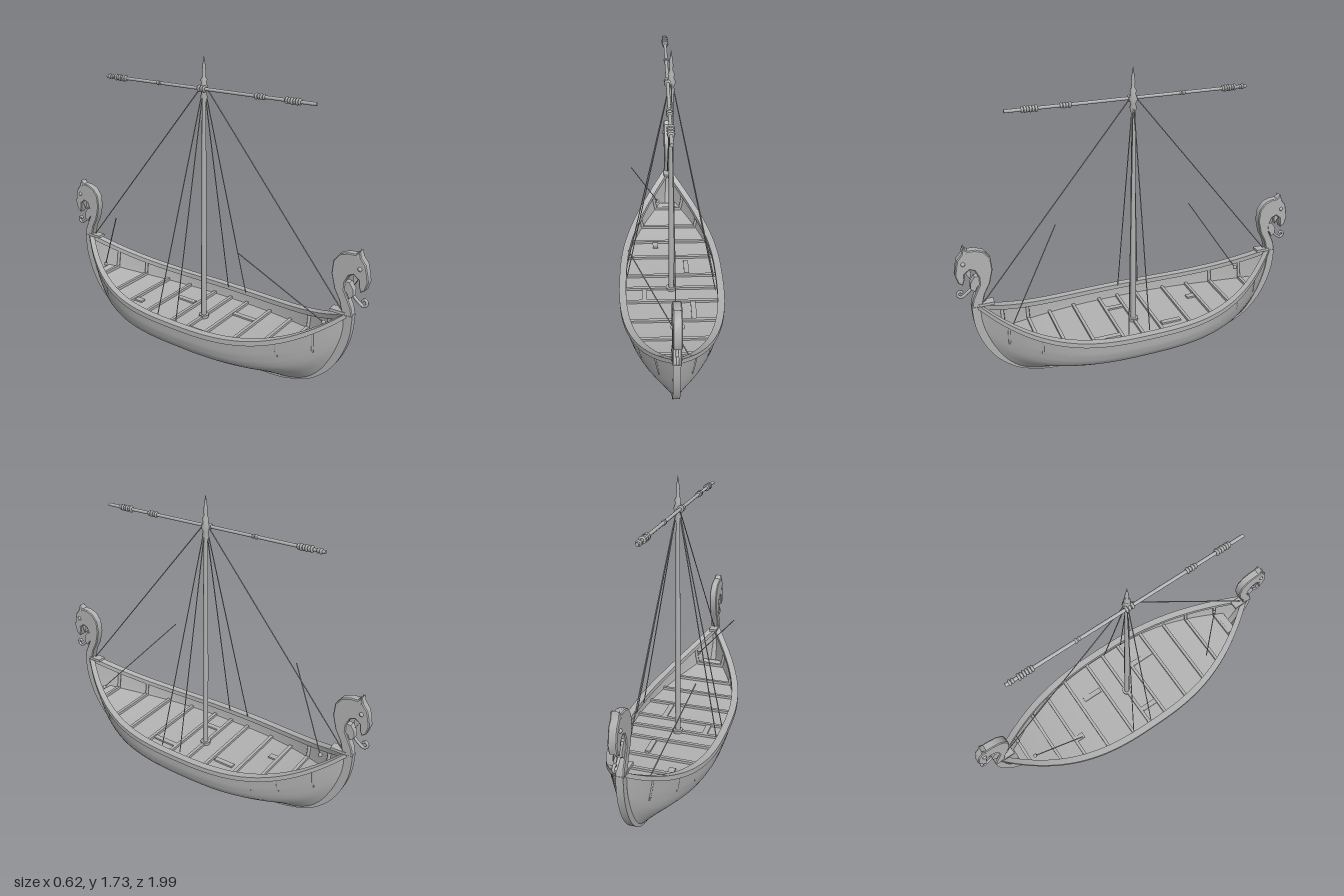
import * as THREE from 'three';
import { toCreasedNormals } from 'three/addons/utils/BufferGeometryUtils.js';

const V = (x, y, z) => new THREE.Vector3(x, y, z);

// Hull rules: half width of the rim, height of rim and keel at a given z
const rimW = z => 0.295 * Math.max(0, 1 - (Math.abs(z) / 0.9) ** 2.6);
const rimY = z => 0.295 + 0.225 * (Math.abs(z) / 0.89) ** 3.2;
const keelY = z => 0.02 + 0.35 * (Math.abs(z) / 0.895) ** 8;
const SECTION = [[0, 0.06], [0.04, 0.16], [0.12, 0.33], [0.2, 0.5], [0.3, 0.71], [0.4, 0.85], [0.52, 0.93], [0.7, 0.98], [1, 1]];

function sectionAt(v, z) {
  let i = 1;
  while (i < SECTION.length - 1 && SECTION[i][0] < v) i++;
  const [a, b] = [SECTION[i - 1], SECTION[i]];
  const full = THREE.MathUtils.mapLinear(v, a[0], b[0], a[1], b[1]);
  return THREE.MathUtils.lerp(full, v, 0.7 * (Math.abs(z) / 0.9) ** 3);
}
function halfWidth(z, y) {
  const v = THREE.MathUtils.clamp((y - keelY(z)) / (rimY(z) - keelY(z)), 0, 1);
  return rimW(z) * sectionAt(v, z);
}
const deckY = z => 0.21 + 0.1 * (Math.abs(z) / 0.8) ** 3;

// Skin a list of rows, each with the same number of points
function loft(rows) {
  const n = rows[0].length, idx = [];
  for (let i = 0; i < rows.length - 1; i++)
    for (let j = 0; j < n - 1; j++) {
      const a = i * n + j, b = a + n;
      idx.push(a, a + 1, b, b, a + 1, b + 1);
    }
  const g = new THREE.BufferGeometry();
  g.setAttribute('position', new THREE.BufferAttribute(new Float32Array(rows.flat(2)), 3));
  g.setIndex(idx);
  g.computeVertexNormals();
  return g;
}

// Extrude an outline drawn in (z, y) across x
function sideProfile(points, width, bevel = 0) {
  const g = new THREE.ExtrudeGeometry(new THREE.Shape(points), {
    depth: width - 2 * bevel, bevelEnabled: bevel > 0, bevelSize: bevel, bevelThickness: bevel, bevelOffset: -bevel, bevelSegments: 1
  });
  g.translate(0, 0, -width / 2 + bevel).rotateY(-Math.PI / 2);
  return toCreasedNormals(g, 0.6);
}
const spline = (pts, n) => new THREE.SplineCurve(pts.map(p => new THREE.Vector2(...p))).getPoints(n);

export function createModel() {
  const ship = new THREE.Group();
  ship.name = 'longship';
  const wood = new THREE.MeshStandardMaterial({ color: 0xb2b2b2, side: THREE.DoubleSide });
  wood.name = 'grey wood';
  const add = (name, geo, parent = ship) => {
    const m = new THREE.Mesh(geo, wood);
    m.name = name;
    parent.add(m);
    return m;
  };
  const box = (name, w, h, d, x, y, z) => add(name, new THREE.BoxGeometry(w, h, d).translate(x, y, z));
  const tube = (name, pts, r, seg = 24, parent = ship) =>
    add(name, new THREE.TubeGeometry(new THREE.CatmullRomCurve3(pts), seg, r, 6), parent);
  const rope = (a, b) => add('rope', new THREE.TubeGeometry(new THREE.LineCurve3(a, b), 1, 0.003, 6));

  // Hull skin, denser towards the ends
  const stations = Array.from({ length: 65 }, (_, i) => 0.895 * Math.sin((i / 32 - 1) * Math.PI / 2));
  add('hull', loft(stations.map(z => {
    const row = [];
    for (let j = -24; j <= 24; j++) {
      const v = (Math.abs(j) / 24) ** 1.3;
      row.push([(Math.sign(j) || 0) * rimW(z) * sectionAt(v, z), THREE.MathUtils.lerp(keelY(z), rimY(z), v), z]);
    }
    return row;
  })));

  // Gunwale rail along each side
  for (const s of [-1, 1]) {
    const g = loft(stations.map(z => {
      const w = rimW(z), y = rimY(z);
      const o = w + 0.013, i = Math.max(0, w - 0.027);
      return [[o, y - 0.02], [o, y + 0.008], [i, y + 0.008], [i, y - 0.02], [o, y - 0.02]].map(p => [s * p[0], p[1], z]);
    }));
    add('gunwale', toCreasedNormals(g, 0.6));
  }

  // Keel curving up into both stems
  const outer = spline([[0, 0], [0.46, 0.012], [0.6, 0.033], [0.71, 0.075], [0.8, 0.15], [0.86, 0.235], [0.9, 0.33], [0.92, 0.42], [0.925, 0.525]], 40);
  const inner = spline([[0.875, 0.525], [0.88, 0.45], [0.865, 0.36], [0.82, 0.24], [0.76, 0.165], [0.68, 0.11], [0.55, 0.07], [0, 0.045]], 40);
  for (const turn of [0, Math.PI])
    add('keelAndStem', sideProfile([...outer, ...inner], 0.038)).rotation.y = turn;

  // Deck, following the sheer
  const deckZ = Array.from({ length: 41 }, (_, i) => (i / 20 - 1) * 0.8);
  add('deck', loft(deckZ.map(z => {
    const w = halfWidth(z, deckY(z)) - 0.002;
    return [[-w, deckY(z), z], [w, deckY(z), z]];
  })));

  // Cross beams and side ribs
  for (const z of [-0.75, -0.59, -0.45, -0.3, -0.12, 0, 0.12, 0.29, 0.45, 0.59, 0.75]) {
    const y = deckY(z) + 0.006;
    box('crossBeam', 2 * halfWidth(z, y) - 0.006, 0.018, 0.018, 0, y, z);
    if (Math.abs(z) < 0.5) continue;
    for (const s of [-1, 1]) {
      const pts = [0, 0.33, 0.66, 1].map(t => {
        const yy = THREE.MathUtils.lerp(y, rimY(z) - 0.01, t);
        return V(s * (halfWidth(z, yy) - 0.008), yy, z);
      });
      tube('rib', pts, 0.01, 10);
    }
  }
  // Loose boards on the deck
  for (const [x, z, w, d] of [[0.125, 0.2, 0.03, 0.16], [-0.09, -0.42, 0.035, 0.06], [-0.16, 0.06, 0.03, 0.1], [0.1, -0.2, 0.03, 0.12]])
    box('looseBoard', w, 0.01, d, x, deckY(z) + 0.006, z);

  // Mast with a carved, pointed head
  const mast = [[0, 0.1], [0.016, 0.1], [0.015, 0.8], [0.011, 1.48], [0.019, 1.51], [0.014, 1.53], [0.024, 1.555], [0.014, 1.58],
    [0.018, 1.6], [0.009, 1.615], [0.011, 1.645], [0.007, 1.68], [0, 1.725]].map(p => new THREE.Vector2(...p));
  add('mast', new THREE.LatheGeometry(mast, 12));
  const collar = new THREE.CylinderGeometry(0.03, 0.026, 0.03, 10).translate(0, 0.215, 0);
  add('mastStep', collar);

  // Yard with rope lashings
  const yard = new THREE.Group();
  yard.name = 'yard';
  yard.position.set(-0.018, 1.555, 0);
  ship.add(yard);
  add('yardSpar', new THREE.CylinderGeometry(0.009, 0.009, 1.33, 10).rotateX(Math.PI / 2), yard);
  for (const [z, len, r] of [[0.54, 0.085, 0.02], [0.355, 0.06, 0.018], [0, 0.05, 0.02], [-0.283, 0.035, 0.015], [-0.56, 0.085, 0.02], [-0.635, 0.03, 0.017]]) {
    const turns = Math.max(2, Math.round(len / 0.015));
    for (let i = 0; i < turns; i++) {
      const ring = add('lashing', new THREE.TorusGeometry(r - 0.008 - (i % 2) * 0.002, 0.007, 6, 12), yard);
      ring.position.z = z + ((i + 0.5) / turns - 0.5) * len;
    }
  }

  // Standing rigging and loose lines
  const top = V(0, 1.58, 0);
  for (const [x, y, z] of [[-0.265, 0.3, -0.13], [0.255, 0.3, 0.125], [-0.265, 0.3, 0], [0.255, 0.3, 0], [0, 0.52, 0.865], [0, 0.52, -0.865]])
    rope(top, V(x, y, z));
  for (const [a, b] of [[V(-0.233, 0.8, 0.385), V(0.07, 0.385, 0.73)], [V(-0.23, 0.8, -0.45), V(-0.07, 0.385, -0.71)]]) {
    rope(a, b);
    add('ropeBlock', new THREE.SphereGeometry(0.012, 8, 6)).position.copy(b);
  }

  // Carved beast heads at both ends
  const head = [[0.87, 0.515], [0.85, 0.588], [0.818, 0.647], [0.797, 0.727], [0.802, 0.797], [0.834, 0.84], [0.877, 0.856],
    [0.915, 0.858], [0.937, 0.878], [0.947, 0.845], [0.973, 0.813], [0.984, 0.77], [0.992, 0.727], [0.98, 0.68], [0.957, 0.663],
    [0.945, 0.695], [0.942, 0.727], [0.915, 0.748], [0.89, 0.737], [0.872, 0.695], [0.872, 0.652], [0.893, 0.61], [0.914, 0.567], [0.925, 0.515]];
  const jaw = [[0.868, 0.7], [0.895, 0.7], [0.918, 0.665], [0.92, 0.63], [0.898, 0.612], [0.885, 0.64], [0.862, 0.655]];
  const fang = [[0.915, 0.752], [0.94, 0.735], [0.918, 0.69], [0.908, 0.725]];
  const toV2 = pts => pts.map(p => new THREE.Vector2(...p));
  for (const [name, turn] of [['bowHead', 0], ['sternHead', Math.PI]]) {
    const g = new THREE.Group();
    g.name = name;
    g.rotation.y = turn;
    ship.add(g);
    add('neckAndHead', sideProfile(toV2(head), 0.045, 0.005), g);
    add('jaw', sideProfile(toV2(jaw), 0.035), g);
    add('fang', sideProfile(toV2(fang), 0.025), g);
    tube('tongueCurl', [V(0, 0.63, 0.91), V(0, 0.6, 0.945), V(0, 0.585, 0.972), V(0, 0.603, 0.99), V(0, 0.623, 0.975), V(0, 0.611, 0.962)], 0.008, 24, g);
    for (const s of [-1, 1]) {
      add('eye', new THREE.SphereGeometry(0.012, 10, 8), g).position.set(s * 0.021, 0.787, 0.945);
      const ear = add('ear', new THREE.ConeGeometry(0.01, 0.04, 6), g);
      ear.position.set(s * 0.016, 0.862, 0.93);
    }
    add('stemPlate', new THREE.BoxGeometry(0.05, 0.016, 0.09).translate(0, 0.525, 0.848), g);
  }
  return ship;
}
